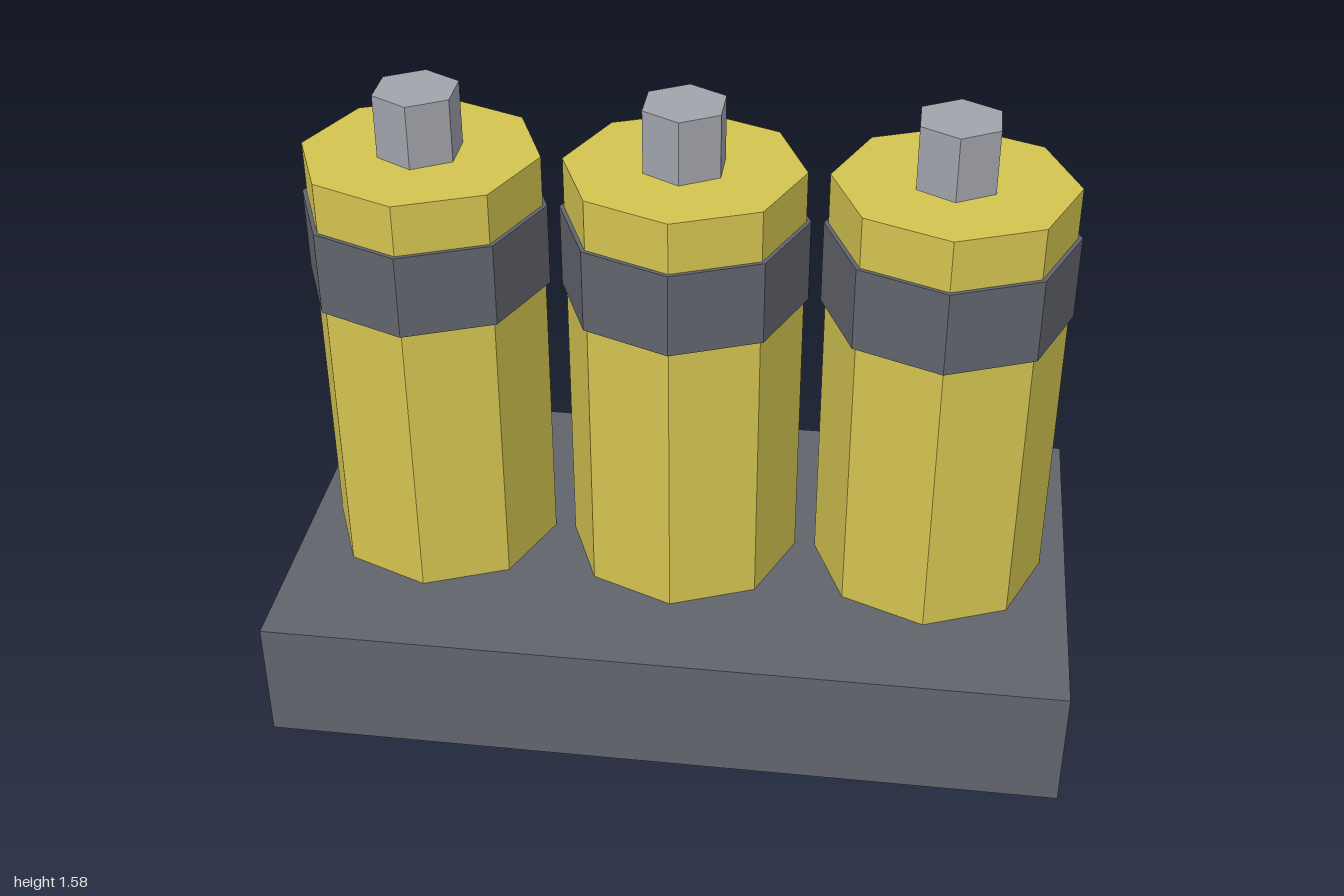
import * as THREE from 'three';

const material = (name, color) => {
  const m = new THREE.MeshStandardMaterial({ color, flatShading: true });
  m.name = name;
  return m;
};

export function createModel() {
  const yellow = material('yellow', 0xd4c450);
  const darkGrey = material('dark grey', 0x61646c);
  const steel = material('steel', 0xa2a4ac);

  const model = new THREE.Group();
  model.name = 'cellBank';

  // Upright prism between two heights, with a corner facing the front
  const prism = (name, radius, sides, bottom, top, mat) => {
    const geometry = new THREE.CylinderGeometry(radius, radius, top - bottom, sides);
    const mesh = new THREE.Mesh(geometry, mat);
    mesh.name = name;
    mesh.position.y = (bottom + top) / 2;
    return mesh;
  };

  // Base slab
  const base = new THREE.Mesh(new THREE.BoxGeometry(2, 0.32, 1.066), darkGrey);
  base.name = 'base';
  base.position.y = 0.16;
  model.add(base);

  // Row of three cells, each with a clamp band and a hexagonal terminal
  ['right', 'middle', 'left'].forEach((side, i) => {
    const cell = new THREE.Group();
    cell.name = `${side}Cell`;
    cell.position.x = (i - 1) * 0.64;
    cell.add(
      prism('cellBody', 0.294, 8, 0.32, 1.414, yellow),
      prism('clampBand', 0.305, 8, 1.07, 1.284, darkGrey),
      prism('terminal', 0.107, 6, 1.414, 1.575, steel),
    );
    model.add(cell);
  });

  return model;
}
